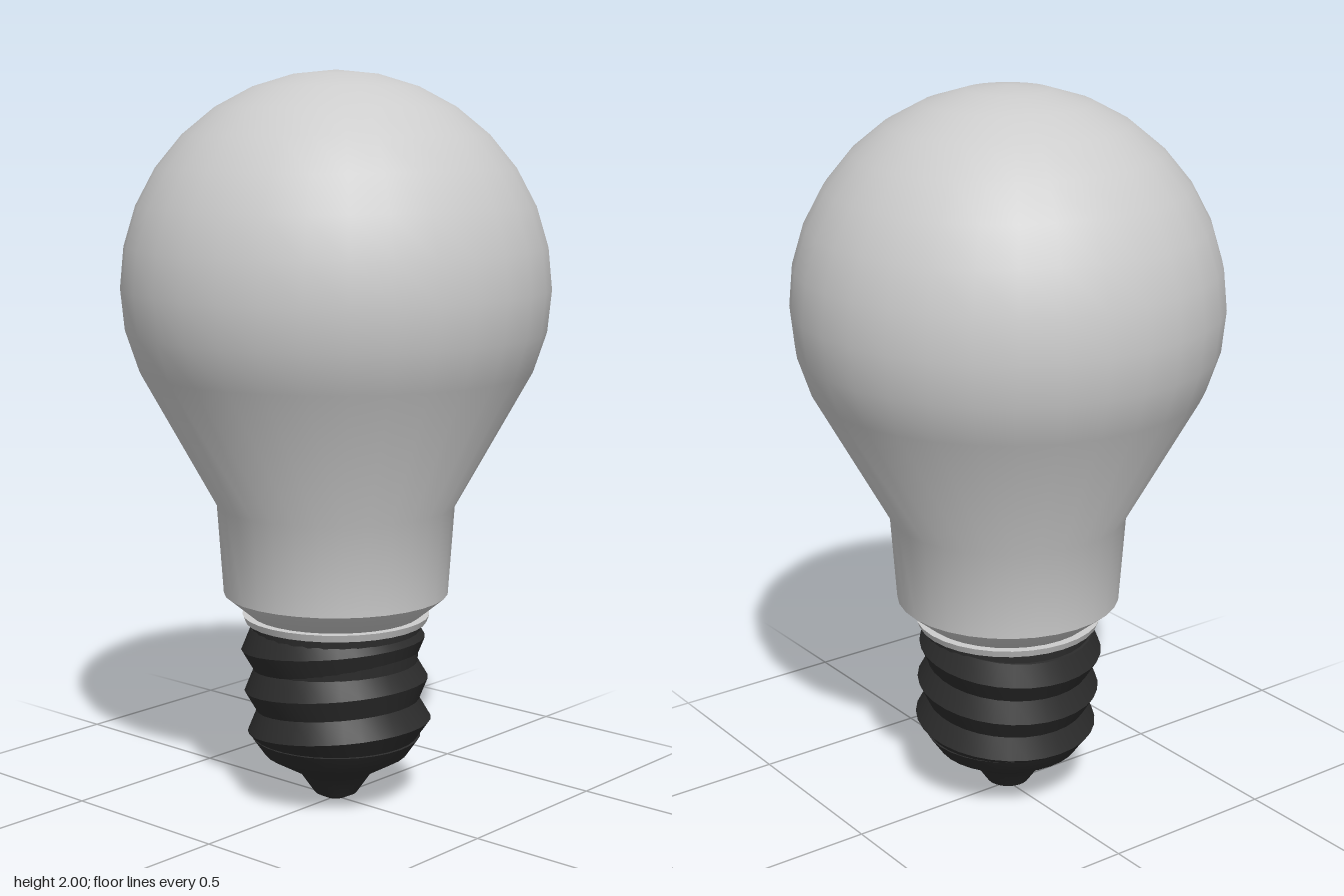
import * as THREE from 'three';
import { toCreasedNormals } from 'three/addons/utils/BufferGeometryUtils.js';

const SIDES = 32;

// Profiles are [radius, height] pairs running from bottom to top
function lathe(profile) {
  return new THREE.LatheGeometry(profile.map(([r, y]) => new THREE.Vector2(r, y)), SIDES);
}

function addMesh(parent, name, geometry, material) {
  const mesh = new THREE.Mesh(geometry, material);
  mesh.name = name;
  parent.add(mesh);
  return mesh;
}

export function createModel() {
  const model = new THREE.Group();
  model.name = 'lightBulb';

  const frosted = new THREE.MeshStandardMaterial({ color: 0xcccccc });
  frosted.name = 'frosted grey';
  const dark = new THREE.MeshStandardMaterial({ color: 0x2c2c2c });
  dark.name = 'dark metal';

  // Globe, tapering neck and straight collar in one smooth shell
  const profile = [[0, 0.53], [0.235, 0.53], [0.308, 0.59], [0.325, 0.835], [0.53, 1.205]];
  for (let i = -1; i <= 8; i++) {
    const a = (i * Math.PI) / 16;
    profile.push([Math.max(0, 0.577 * Math.cos(a)), 1.425 + 0.575 * Math.sin(a)]);
  }
  addMesh(model, 'glassBulb', toCreasedNormals(lathe(profile), 0.75), frosted);

  // Pale lip under the collar
  const lip = addMesh(model, 'collarLip', new THREE.CylinderGeometry(0.258, 0.25, 0.02, SIDES), frosted);
  lip.position.y = 0.52;

  // Socket neck joining the thread to the glass
  const neck = addMesh(model, 'socketNeck', new THREE.CylinderGeometry(0.234, 0.225, 0.13, SIDES), dark);
  neck.position.y = 0.445;

  // Screw thread: ridged rings, tilted about their middle
  const pivot = 0.34;
  const thread = [[0.2, 0.15 - pivot]];
  for (let i = 0; i < 3; i++) {
    const ridge = 0.215 + i * 0.115 - pivot;
    thread.push([0.255, ridge], [0.226, ridge + 0.0575]);
  }
  thread.push([0, 0.5025 - pivot]);
  const screw = addMesh(model, 'screwThread', toCreasedNormals(lathe(thread), 0.4), dark);
  screw.position.y = pivot;
  screw.rotation.z = 0.1;

  // Tapered base cap ending in the contact tip
  const cap = [[0, 0], [0.03, 0.003], [0.06, 0.018], [0.103, 0.08], [0.2, 0.135], [0.235, 0.185], [0, 0.22]];
  addMesh(model, 'contactCap', toCreasedNormals(lathe(cap), 0.5), dark);

  return model;
}
